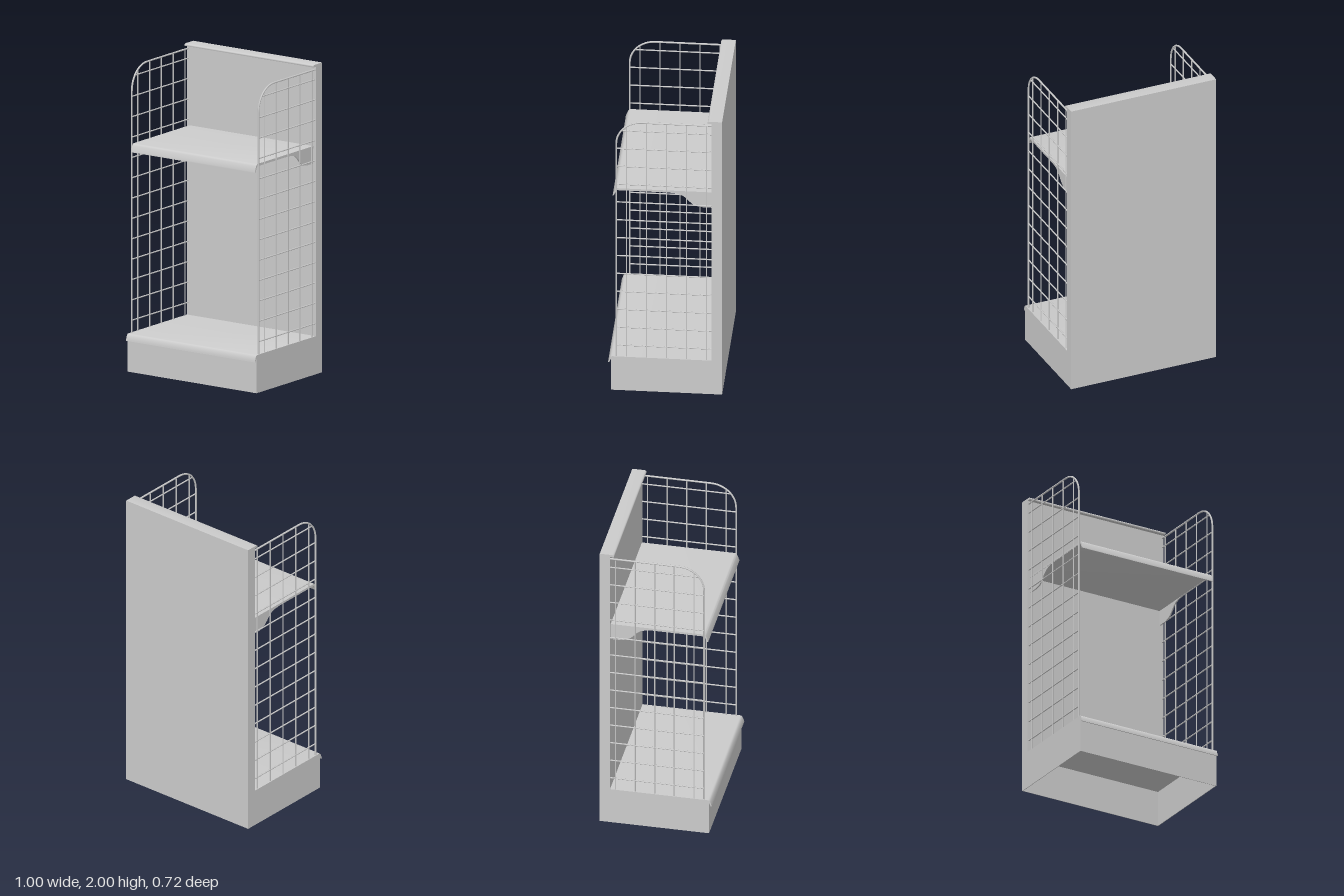
import * as THREE from 'three';
import { toCreasedNormals } from 'three/addons/utils/BufferGeometryUtils.js';

const material = new THREE.MeshStandardMaterial({ color: 0xcccccc, side: THREE.DoubleSide });

function add(parent, name, geometry, x = 0, y = 0, z = 0) {
  const mesh = new THREE.Mesh(geometry, material);
  mesh.name = name;
  mesh.position.set(x, y, z);
  parent.add(mesh);
  return mesh;
}

// Extrudes a side profile of [z, y] points along x, centred on x = 0
function extrudeProfile(points, width) {
  const shape = new THREE.Shape(points.map(([z, y]) => new THREE.Vector2(z, y)));
  const geometry = new THREE.ExtrudeGeometry(shape, { depth: width, bevelEnabled: false });
  geometry.translate(0, 0, -width / 2);
  geometry.rotateY(-Math.PI / 2);
  return toCreasedNormals(geometry, 0.65);
}

// Folded sheet: flat tray with a rounded, sloping front lip
function trayProfile(back, front, top, thickness, reach, drop) {
  const t = 0.006;
  return [
    [back, top - thickness], [back, top],
    [front - 0.008, top], [front - 0.001, top - 0.002], [front + 0.004, top - 0.007],
    [front + 0.008, top - 0.014],
    [front + reach, top - drop + 0.006], [front + reach, top - drop],
    [front + reach - t, top - drop],
    [front - 0.002, top - thickness - 0.004], [front - 0.008, top - thickness],
  ];
}

// Straight wire between two points in the side plane
function wire(parent, name, z0, y0, z1, y1, radius, x = 0) {
  const length = Math.hypot(z1 - z0, y1 - y0);
  const mesh = add(parent, name, new THREE.CylinderGeometry(radius, radius, length, 8),
    x, (y0 + y1) / 2, (z0 + z1) / 2);
  mesh.rotation.x = Math.atan2(z1 - z0, y1 - y0);
}

// Wire mesh side screen with one rounded upper front corner
function sideScreen() {
  const screen = new THREE.Group();
  const bottom = 0.24, top = 1.965, front = 0.31, back = -0.292, r = 0.16;
  const cz = front - r, cy = top - r;

  const path = new THREE.CurvePath();
  const arc = [];
  for (let i = 0; i <= 10; i++) {
    const a = (i / 10) * Math.PI / 2;
    arc.push(new THREE.Vector3(0, cy + r * Math.sin(a), cz + r * Math.cos(a)));
  }
  path.add(new THREE.LineCurve3(new THREE.Vector3(0, bottom, front), arc[0]));
  for (let i = 0; i < 10; i++) path.add(new THREE.LineCurve3(arc[i], arc[i + 1]));
  path.add(new THREE.LineCurve3(arc[10], new THREE.Vector3(0, top, back)));
  add(screen, 'screenFrame', new THREE.TubeGeometry(path, 120, 0.006, 8));

  for (let i = 0; i < 5; i++) {
    const z = 0.245 - i * 0.126;
    const y = z > cz ? cy + Math.sqrt(r * r - (z - cz) ** 2) : top;
    wire(screen, 'uprightWire', z, bottom, z, y, 0.0045);
  }
  for (let i = 0; i < 13; i++) {
    const y = 0.326 + i * 0.1313;
    const z = y > cy ? cz + Math.sqrt(r * r - (y - cy) ** 2) : front;
    wire(screen, 'crossWire', back, y, z, y, 0.0045);
  }
  return screen;
}

export function createModel() {
  const model = new THREE.Group();
  model.name = 'displayShelf';

  // Back panel with a small overhanging lip along the top
  add(model, 'backPanel', extrudeProfile([
    [-0.358, 0.24], [-0.292, 0.24], [-0.292, 1.984], [-0.268, 1.984],
    [-0.266, 1.988], [-0.267, 1.994], [-0.271, 1.998], [-0.277, 2], [-0.358, 2],
  ], 1));

  // Hollow plinth, open underneath
  const plinth = new THREE.Group();
  plinth.name = 'plinth';
  model.add(plinth);
  const wall = 0.004;
  add(plinth, 'plinthFront', new THREE.BoxGeometry(1, 0.235, wall), 0, 0.1175, 0.341);
  add(plinth, 'plinthBack', new THREE.BoxGeometry(1, 0.24, wall), 0, 0.12, -0.356);
  for (const s of [-1, 1]) {
    add(plinth, 'plinthSide', new THREE.BoxGeometry(wall, 0.235, 0.7), s * (0.5 - wall / 2), 0.1175, -0.008);
  }

  // Bottom deck and upper shelf share the same folded lip
  add(model, 'bottomDeck', extrudeProfile(trayProfile(-0.357, 0.343, 0.246, 0.012, 0.017, 0.044), 1));
  add(model, 'upperShelf', extrudeProfile(trayProfile(-0.292, 0.312, 1.47, 0.014, 0.021, 0.054), 0.96));

  // Tapering shelf brackets
  const bracket = extrudeProfile([
    [-0.292, 1.46], [-0.292, 1.356], [-0.225, 1.357], [-0.19, 1.365], [-0.165, 1.38],
    [-0.145, 1.4], [-0.125, 1.422], [-0.1, 1.44], [-0.065, 1.45], [-0.02, 1.454],
    [0.3, 1.454], [0.3, 1.46],
  ], 0.008);
  for (const s of [-1, 1]) {
    add(model, 'shelfBracket', bracket, s * 0.474);
    const screen = sideScreen();
    screen.name = s > 0 ? 'leftScreen' : 'rightScreen';
    screen.position.x = s * 0.491;
    model.add(screen);
  }
  return model;
}
